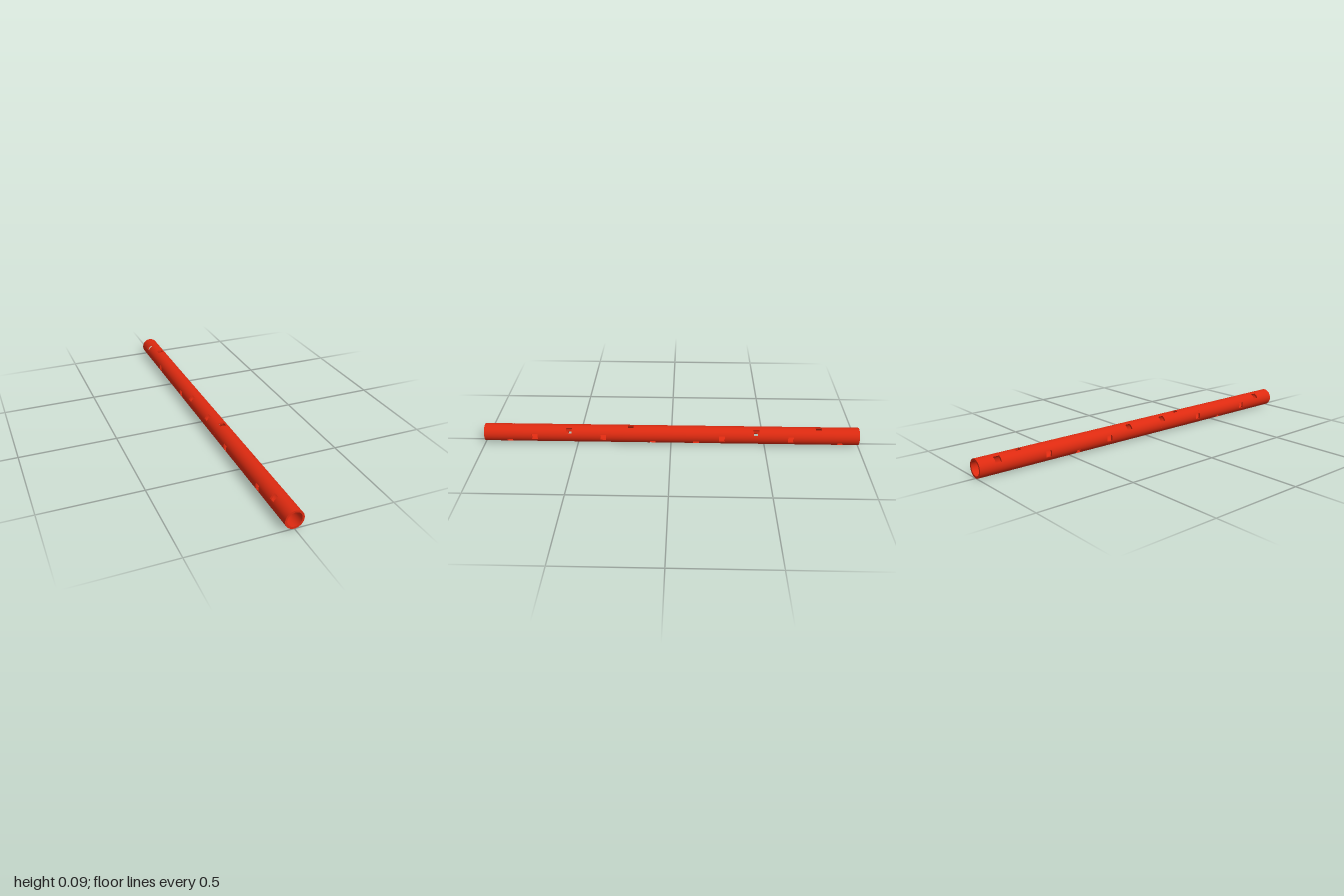
import * as THREE from 'three';

const OUTER = 0.0465, INNER = 0.0365, HALF = 0.0155; // pipe radii, half width of the square holes
const LENGTH = 1;
const STEP = Math.PI / 32;

// Cross holes of one pipe section: [distance along the pipe, direction of the cut]
const HOLES = [
  [0.097, Math.PI * 3 / 4],
  [0.215, Math.PI / 2],
  [0.362, 0],
  [0.545, Math.PI / 4],
  [0.728, 0],
  [0.865, Math.PI * 3 / 4],
];

const at = (r, a, z) => new THREE.Vector3(r * Math.cos(a), r * Math.sin(a), z);

function pipeSection() {
  const positions = [], normals = [];

  // Quad a-b-c-d with one normal per corner; winding follows the normals
  function quad(pts, nrm) {
    const face = pts[1].clone().sub(pts[0]).cross(pts[2].clone().sub(pts[0]));
    const order = face.dot(nrm[0]) > 0 ? [0, 1, 2, 0, 2, 3] : [0, 2, 1, 0, 3, 2];
    for (const i of order) {
      positions.push(...pts[i].toArray());
      normals.push(...nrm[i].toArray());
    }
  }

  // Curved wall at radius r; sign +1 faces out, -1 faces in
  function wall(r, a0, a1, z0, z1, sign) {
    const n = Math.ceil((a1 - a0) / STEP - 1e-6);
    for (let i = 0; i < n; i++) {
      const a = a0 + (a1 - a0) * i / n, b = a0 + (a1 - a0) * (i + 1) / n;
      const na = at(sign, a, 0), nb = at(sign, b, 0);
      quad([at(r, a, z0), at(r, b, z0), at(r, b, z1), at(r, a, z1)], [na, nb, nb, na]);
    }
  }

  // Flat ring sector; half angles may differ on the outer and inner edge
  function ring(mid, halfOuter, halfInner, z, sign) {
    const n = Math.ceil(2 * halfOuter / STEP);
    const nz = new THREE.Vector3(0, 0, sign);
    for (let i = 0; i < n; i++) {
      const s = 2 * i / n - 1, t = 2 * (i + 1) / n - 1;
      quad([
        at(OUTER, mid + s * halfOuter, z), at(OUTER, mid + t * halfOuter, z),
        at(INNER, mid + t * halfInner, z), at(INNER, mid + s * halfInner, z),
      ], [nz, nz, nz, nz]);
    }
  }

  function solidBand(z0, z1) {
    wall(OUTER, 0, Math.PI * 2, z0, z1, 1);
    wall(INNER, 0, Math.PI * 2, z0, z1, -1);
  }

  // Band with a square hole through both opposite sides
  function holeBand(z0, z1, angle) {
    const dOut = Math.asin(HALF / OUTER), dIn = Math.asin(HALF / INNER);
    for (const mid of [angle, angle + Math.PI]) {
      wall(OUTER, mid + dOut, mid + Math.PI - dOut, z0, z1, 1);
      wall(INNER, mid + dIn, mid + Math.PI - dIn, z0, z1, -1);
      ring(mid, dOut, dIn, z0, 1);
      ring(mid, dOut, dIn, z1, -1);
      for (const side of [-1, 1]) {
        const n = at(-side, mid + Math.PI / 2, 0);
        const o = mid + side * dOut, i = mid + side * dIn;
        quad([at(OUTER, o, z0), at(INNER, i, z0), at(INNER, i, z1), at(OUTER, o, z1)], [n, n, n, n]);
      }
    }
  }

  let z = 0;
  for (const [centre, angle] of HOLES) {
    solidBand(z, centre - HALF);
    holeBand(centre - HALF, centre + HALF, angle);
    z = centre + HALF;
  }
  solidBand(z, LENGTH);

  // End faces
  ring(0, Math.PI, Math.PI, 0, -1);
  ring(0, Math.PI, Math.PI, LENGTH, 1);

  const geometry = new THREE.BufferGeometry();
  geometry.setAttribute('position', new THREE.Float32BufferAttribute(positions, 3));
  geometry.setAttribute('normal', new THREE.Float32BufferAttribute(normals, 3));
  return geometry;
}

export function createModel() {
  const group = new THREE.Group();
  group.name = 'perforatedPipe';
  const material = new THREE.MeshStandardMaterial({ color: 0xdd2a10 });
  const geometry = pipeSection();

  // Two identical sections joined end to end
  for (const [name, z] of [['frontPipeSection', 0], ['backPipeSection', -LENGTH]]) {
    const mesh = new THREE.Mesh(geometry, material);
    mesh.name = name;
    mesh.position.set(0, OUTER, z);
    group.add(mesh);
  }
  return group;
}
